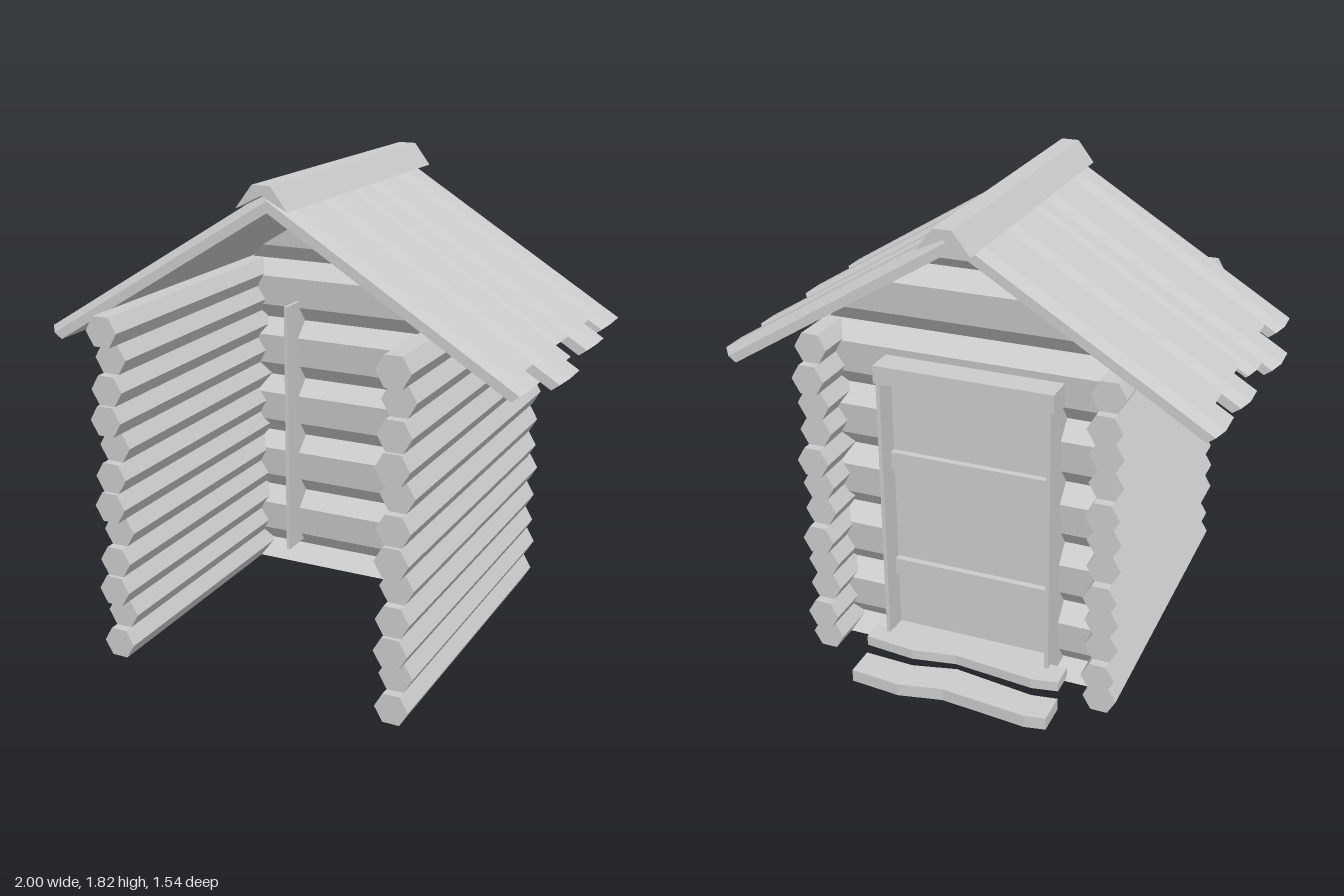
import * as THREE from 'three';

const mat = new THREE.MeshStandardMaterial({ color: 0xcccccc, flatShading: true });
const ROOF_BASE = 1.72, SLOPE = 0.615, PITCH = Math.atan(SLOPE);

function add(parent, name, geometry, x = 0, y = 0, z = 0) {
  const mesh = new THREE.Mesh(geometry, mat);
  mesh.name = name;
  mesh.position.set(x, y, z);
  parent.add(mesh);
  return mesh;
}

function extrude(points, depth) {
  const shape = new THREE.Shape(points.map(([x, y]) => new THREE.Vector2(x, y)));
  return new THREE.ExtrudeGeometry(shape, { depth, bevelEnabled: false });
}

// box given by its lower and upper bounds
function box(parent, name, x0, x1, y0, y1, z0, z1) {
  return add(parent, name, new THREE.BoxGeometry(x1 - x0, y1 - y0, z1 - z0),
    (x0 + x1) / 2, (y0 + y1) / 2, (z0 + z1) / 2);
}

// log along x whose ends are trimmed to the slope of the roof
function trimmedLog(section) {
  const geo = extrude(section, 2).translate(0, 0, -1).rotateY(Math.PI / 2);
  const p = geo.attributes.position;
  for (let i = 0; i < p.count; i++) {
    const half = Math.max(0, Math.min(0.58, (ROOF_BASE - p.getY(i)) / SLOPE));
    p.setX(i, Math.sign(p.getX(i)) * half);
  }
  return geo;
}

// plank running down from the ridge; its upper end is mitred to meet its twin, its lower end is undercut
function roofPlank(half, high, reach) {
  const length = (reach - high * Math.sin(PITCH)) / Math.cos(PITCH);
  const geo = extrude([[-half, 0], [half, 0], [half, high - 0.03], [half - 0.03, high],
    [-half + 0.03, high], [-half, high - 0.03]], length).rotateY(Math.PI / 2);
  const p = geo.attributes.position;
  for (let i = 0; i < p.count; i++) {
    const y = p.getY(i);
    p.setX(i, p.getX(i) < length / 2 ? -y * SLOPE : length - (high - y) * 0.4);
  }
  return geo;
}

// wavy board lying flat, from edge points [x, z]
function wavyBoard(inner, outer, thickness) {
  const pts = [...inner, ...[...outer].reverse()].map(([x, z]) => [x, -z]);
  return extrude(pts, thickness).rotateX(-Math.PI / 2);
}

export function createModel() {
  const root = new THREE.Group();
  root.name = 'logHut';

  // side walls: twelve hexagonal logs each, with staggered ends
  const spans = [[0.755, -0.58], [0.72, -0.61], [0.77, -0.575]];
  const step = 0.1117, r = step / Math.sqrt(3);
  for (const side of [-1, 1]) {
    const wall = new THREE.Group();
    wall.name = side > 0 ? 'leftWall' : 'rightWall';
    root.add(wall);
    for (let i = 0; i < 12; i++) {
      const [front, back] = spans[i % 3];
      const geo = new THREE.CylinderGeometry(r, r, front - back, 6)
        .rotateY(Math.PI / 6).rotateX(Math.PI / 2);
      add(wall, 'wallLog', geo, side * 0.565, (i + 0.5) * step, (front + back) / 2);
    }
  }

  // back wall: thicker logs, with the upper ones forming the gable
  const backWall = new THREE.Group();
  backWall.name = 'backWall';
  backWall.position.z = -0.38;
  root.add(backWall);
  const w = 0.075;
  add(backWall, 'sillLog', trimmedLog([[-w, 0], [w, 0], [0.01, 0.068], [-0.01, 0.068]]));
  for (let i = 0; i < 6; i++) {
    const y = 0.068 + i * 0.255;
    add(backWall, 'backLog', trimmedLog([
      [0.01, y], [w * 0.8, y + 0.064], [w, y + 0.191], [0.01, y + 0.255],
      [-0.01, y + 0.255], [-w, y + 0.191], [-w * 0.8, y + 0.064], [-0.01, y]]));
  }
  add(backWall, 'gableTop', trimmedLog([
    [0.01, 1.598], [w, 1.65], [w, ROOF_BASE], [-w, ROOF_BASE], [-w, 1.65], [-0.01, 1.598]]));

  // door with two rails, inside a frame of thin, deep boards
  const door = new THREE.Group();
  door.name = 'door';
  root.add(door);
  box(door, 'doorPanel', -0.34, 0.3, 0.1, 1.18, -0.465, -0.44);
  for (const y of [0.38, 0.84]) box(door, 'doorRail', -0.34, 0.3, y - 0.035, y + 0.035, -0.49, -0.46);
  box(door, 'leftJamb', 0.3, 0.315, 0.1, 1.18, -0.56, -0.32);
  box(door, 'rightJamb', -0.355, -0.34, 0.1, 1.18, -0.56, -0.21);
  box(door, 'lintel', -0.365, 0.325, 1.18, 1.25, -0.56, -0.38);
  box(door, 'threshold', -0.355, 0.315, 0.06, 0.115, -0.56, -0.38);

  // wavy step boards
  add(root, 'lowerStep', wavyBoard(
    [[-0.42, -0.63], [-0.32, -0.645], [0, -0.6], [0.17, -0.64], [0.37, -0.63]],
    [[-0.42, -0.755], [-0.34, -0.77], [0, -0.735], [0.17, -0.77], [0.37, -0.752]], 0.05));
  add(root, 'upperStep', wavyBoard(
    [[-0.42, -0.53], [0.37, -0.53]],
    [[-0.42, -0.625], [-0.32, -0.643], [-0.15, -0.625], [0, -0.61], [0.17, -0.64], [0.37, -0.62]], 0.04), 0, 0.08, 0);

  // roof planks: [back z, front z, reach in x, thickness]
  const planks = [
    [-0.555, -0.385, 0.955, 0.065], [-0.41, -0.25, 0.88, 0.042], [-0.275, -0.12, 0.975, 0.065],
    [-0.145, 0.02, 0.88, 0.042], [0.01, 0.14, 0.935, 0.042], [0.12, 0.29, 1, 0.065],
    [0.27, 0.43, 0.88, 0.042], [0.41, 0.567, 0.95, 0.065]];
  for (const side of [-1, 1]) {
    const slope = new THREE.Group();
    slope.name = side > 0 ? 'leftRoof' : 'rightRoof';
    slope.rotation.y = side > 0 ? 0 : Math.PI;
    slope.position.y = ROOF_BASE;
    root.add(slope);
    for (const [z0, z1, reach, high] of planks) {
      const geo = roofPlank((z1 - z0) / 2, high, reach);
      add(slope, 'roofPlank', geo, 0, 0, side * (z0 + z1) / 2).rotation.z = -PITCH;
    }
  }

  // ridge cap
  add(root, 'ridgeCap', extrude(
    [[-0.035, 1.82], [-0.1, 1.735], [0, 1.785], [0.1, 1.735], [0.035, 1.82]], 1.25), 0, 0, -0.645);

  return root;
}
